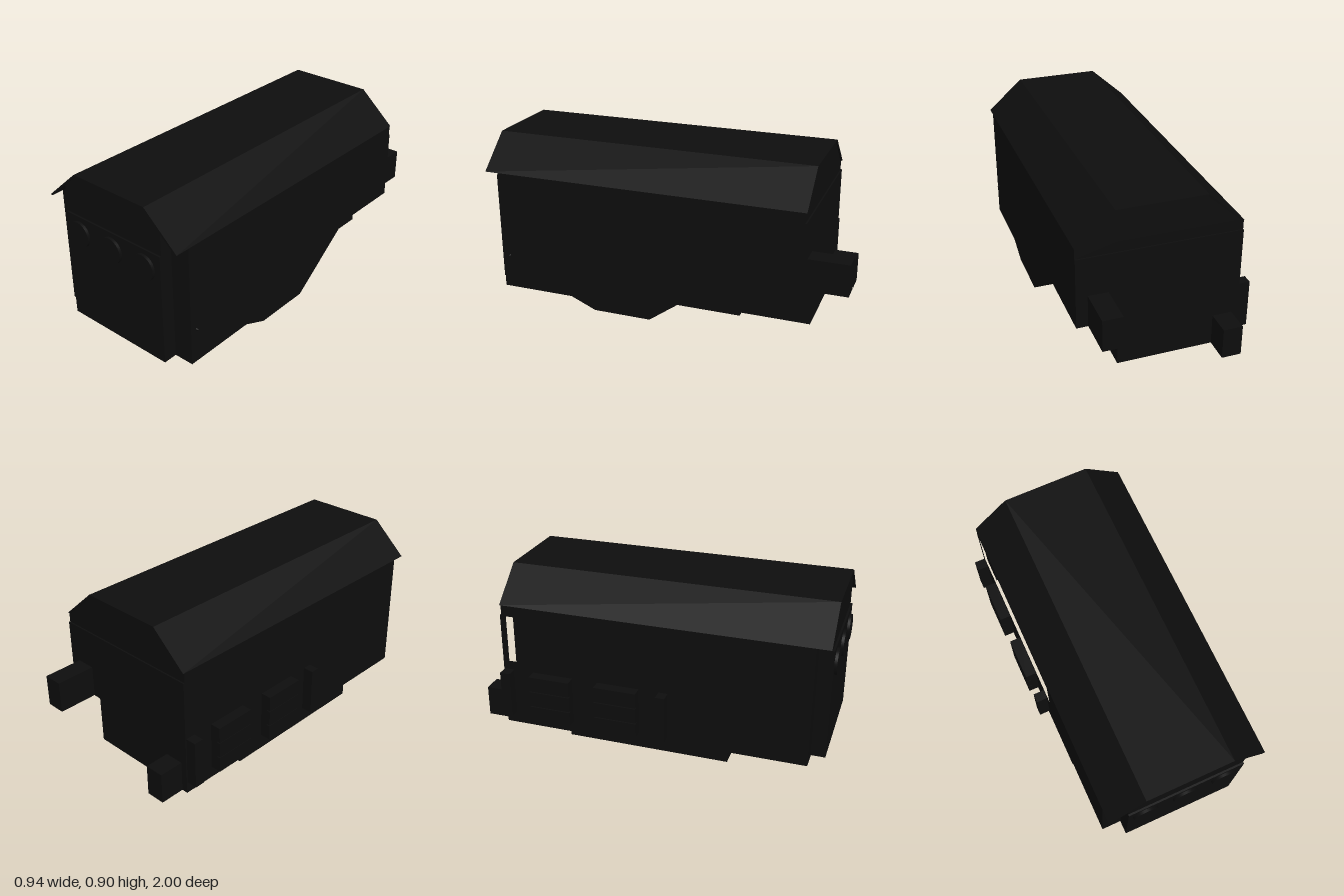
import * as THREE from 'three';

export function createModel() {
  const model = new THREE.Group();
  const black = new THREE.MeshStandardMaterial({ color: 0x0d0d0d });
  black.name = 'matte black';

  const add = (name, geometry) => {
    const mesh = new THREE.Mesh(geometry, black);
    mesh.name = name;
    model.add(mesh);
    return mesh;
  };
  const box = (name, x0, x1, y0, y1, z0, z1) => add(name,
    new THREE.BoxGeometry(x1 - x0, y1 - y0, z1 - z0)
      .translate((x0 + x1) / 2, (y0 + y1) / 2, (z0 + z1) / 2));
  const shapeOf = (pts) => new THREE.Shape(pts.map(([a, b]) => new THREE.Vector2(a, b)));
  const extrude = (shape, depth) => new THREE.ExtrudeGeometry(shape, { depth, bevelEnabled: false });
  // side profile in (z, y), spanning x0..x1
  const sideways = (name, shape, x0, x1) =>
    add(name, extrude(shape, x1 - x0).rotateY(-Math.PI / 2).translate(x1, 0, 0));
  // front profile in (x, y), spanning z0..z1
  const lengthways = (name, pts, z0, z1) =>
    add(name, extrude(shapeOf(pts), z1 - z0).translate(0, 0, z0));

  // Main hull
  const eaves = [[-0.785, 0.67], [-0.777, 0.67], [-0.777, 0.725], [0.91, 0.725]];
  const hull = [[0.91, 0.06], [0.49, 0.06], [0.49, 0], [-0.4, 0], [-0.4, 0.02], [-0.785, 0.02], ...eaves];
  sideways('hullCore', shapeOf(hull), -0.27, 0.245);

  // Right-hand wall with its long recessed bay
  const baySide = shapeOf(hull);
  baySide.holes.push(new THREE.Path(
    [[-0.75, 0.4], [-0.75, 0.665], [0.2, 0.665], [0.2, 0.4]].map(([a, b]) => new THREE.Vector2(a, b))));
  sideways('bayWall', baySide, -0.41, -0.27);

  // Left-hand wall, cut away underneath toward the back
  sideways('cutawayWall', shapeOf([[0.91, 0.06], [0.5, 0.06], [0.36, 0], [0.04, 0],
    [-0.35, 0.285], [-0.785, 0.285], ...eaves]), 0.245, 0.455);

  // Roof shell and the gable filling below it
  lengthways('gable', [[-0.405, 0.72], [0.45, 0.72], [0.25, 0.895], [-0.21, 0.895]], -0.777, 0.91);
  lengthways('roof', [[-0.41, 0.725], [-0.395, 0.725], [-0.21, 0.89], [0.25, 0.89],
    [0.44, 0.725], [0.455, 0.725], [0.257, 0.9], [-0.215, 0.9]], -0.785, 0.985);

  // Stepped front panel
  box('frontPanel', -0.3, 0.345, 0.06, 0.67, 0.9, 0.985);
  lengthways('frontUpperPanel', [[-0.3, 0.67], [0.345, 0.67], [0.345, 0.815],
    [0.25, 0.895], [-0.21, 0.895], [-0.3, 0.815]], 0.9, 0.975);
  for (const x of [-0.205, 0.02, 0.24]) {
    const disc = new THREE.CylinderGeometry(0.07, 0.07, 0.02, 32).rotateX(Math.PI / 2);
    add('frontDisc', disc.translate(x, 0.575, 0.99));
  }

  // Slatted panels and end rails on the right-hand wall
  for (const [z0, z1] of [[-0.61, -0.38], [-0.235, 0]]) {
    box('slatBacking', -0.45, -0.41, 0.085, 0.35, z0, z1);
    for (let i = 0; i < 3; i++) {
      const y = 0.085 + i * 0.09;
      box('slat', -0.47, -0.41, y, y + 0.085, z0, z1);
    }
  }
  for (const [z0, z1] of [[-0.78, -0.725], [0.11, 0.16]]) box('sideRail', -0.47, -0.41, 0.085, 0.35, z0, z1);

  // Connectors at the back
  box('upperBackConnector', 0.29, 0.395, 0.287, 0.46, -1, -0.77);
  box('lowerBackConnector', -0.375, -0.27, 0.02, 0.19, -0.92, -0.77);

  // Small latch on the left-hand wall
  add('latch', new THREE.ConeGeometry(0.008, 0.015, 8).rotateZ(-Math.PI / 2).translate(0.46, 0.25, 0.87));

  return model;
}
